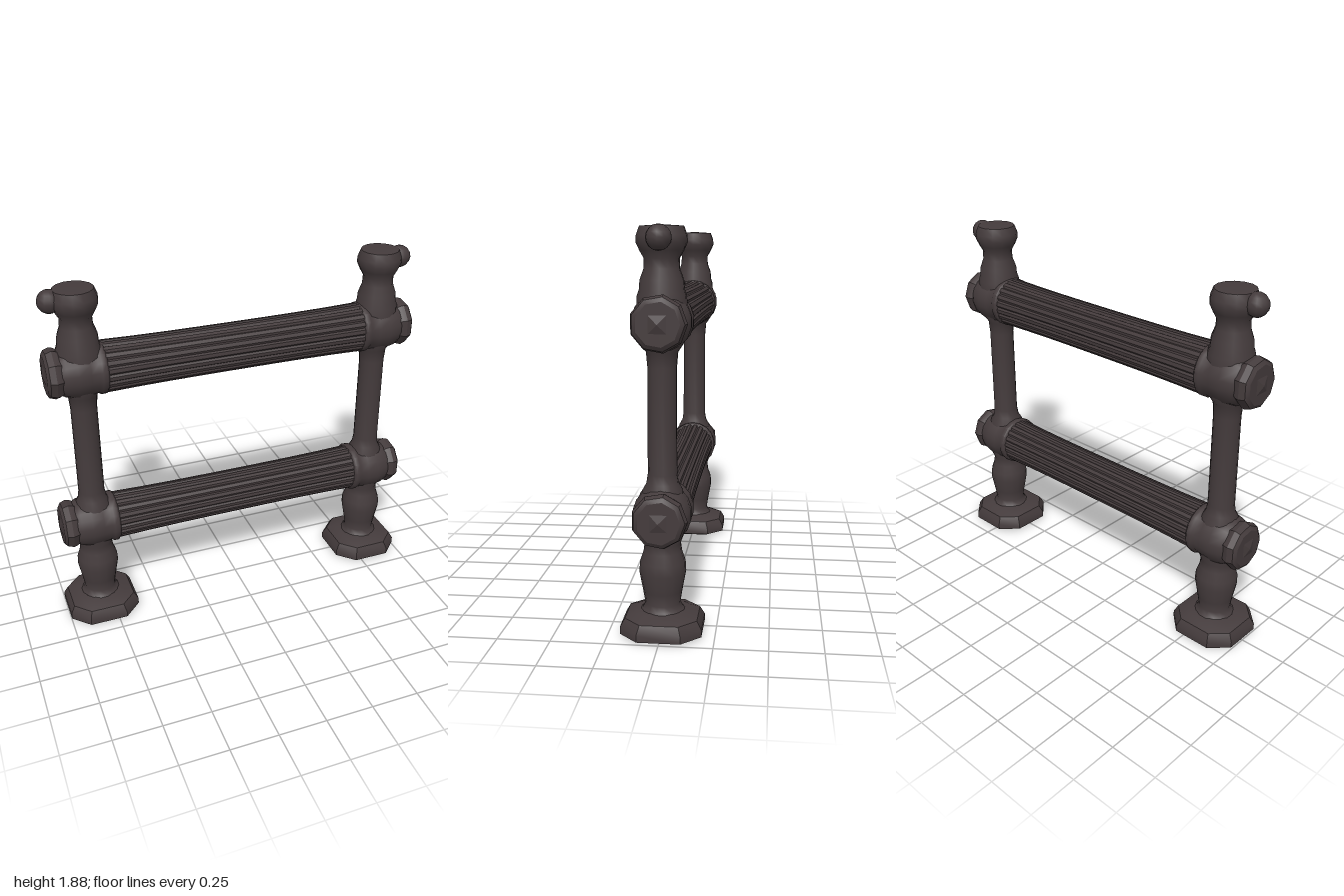
import * as THREE from 'three';
import { toCreasedNormals } from 'three/addons/utils/BufferGeometryUtils.js';

const iron = new THREE.MeshStandardMaterial({ color: 0x443b3c });
iron.name = 'dark iron';

const POST_X = 0.81;
const RAILS = [
  { name: 'lower', y: 0.57, radius: 0.12 },
  { name: 'upper', y: 1.455, radius: 0.125 },
];

function part(name, geometry) {
  const mesh = new THREE.Mesh(geometry, iron);
  mesh.name = name;
  return mesh;
}

// Profile pairs are [radius, height], listed bottom to top
function turned(profile, sides, crease = 0.6) {
  const points = profile.map(([r, y]) => new THREE.Vector2(r, y));
  return toCreasedNormals(new THREE.LatheGeometry(points, sides, Math.PI / sides), crease);
}

// Eight-sided foot, squared off with chamfered corners
function footGeometry() {
  const g = turned([[0, 0], [0.16, 0], [0.19, 0.012], [0.19, 0.045], [0.168, 0.085], [0.12, 0.105], [0, 0.125]], 8);
  const p = g.attributes.position;
  for (let i = 0; i < p.count; i++) {
    const x = p.getX(i), z = p.getZ(i), r = Math.hypot(x, z);
    const wide = Math.abs(x) > Math.abs(z);
    p.setX(i, Math.sign(x) * r * (wide ? 1 : 0.53));
    p.setZ(i, Math.sign(z) * r * (wide ? 0.53 : 1));
  }
  return toCreasedNormals(g, 0.6);
}

// Fluted rail lying along x, flaring a little toward its ends
function railGeometry(radius) {
  const length = 1.42, flutes = 20;
  const g = new THREE.CylinderGeometry(1, 1, length, flutes * 4, 8, true);
  const p = g.attributes.position;
  for (let i = 0; i < p.count; i++) {
    const a = Math.atan2(p.getZ(i), p.getX(i));
    const step = Math.round((a / (Math.PI * 2)) * flutes * 4 + flutes * 4) % 4;
    const flare = 0.008 * Math.pow(Math.abs(p.getY(i)) / (length / 2), 3);
    const r = radius + flare - (step === 0 ? 0.009 : 0);
    p.setX(i, Math.cos(a) * r);
    p.setZ(i, Math.sin(a) * r * 0.95);
  }
  g.rotateZ(-Math.PI / 2);
  return toCreasedNormals(g, 0.5);
}

// One end post, with its outer side toward +x
function makePost() {
  const post = new THREE.Group();
  post.add(part('foot', footGeometry()));

  post.add(part('balusterLeg', turned([
    [0.125, 0.09], [0.095, 0.115], [0.083, 0.14], [0.093, 0.2], [0.11, 0.29],
    [0.107, 0.34], [0.09, 0.39], [0.085, 0.43], [0.1, 0.47], [0.1, 0.6],
  ], 16, 1)));

  post.add(part('shaft', turned([
    [0.1, 0.6], [0.095, 0.68], [0.075, 0.715], [0.068, 0.76],
    [0.067, 1.25], [0.073, 1.32], [0.1, 1.36], [0.1, 1.5],
  ], 16, 1)));

  post.add(part('head', turned([
    [0.115, 1.5], [0.113, 1.57], [0.103, 1.6], [0.1, 1.64], [0.082, 1.69],
    [0.08, 1.735], [0.1, 1.77], [0.116, 1.805], [0.115, 1.835], [0.1, 1.876], [0, 1.883],
  ], 14, 0.7)));

  const knob = part('headKnob', new THREE.SphereGeometry(0.058, 12, 8));
  knob.position.set(0.118, 1.825, 0);
  post.add(knob);

  for (const rail of RAILS) {
    const joint = new THREE.Group();
    joint.name = rail.name + 'Joint';
    // Sleeve gripping the rail, with a rounded belly around the post
    const sleeve = part('sleeve', turned([
      [0, -0.118], [0.126, -0.118], [0.136, -0.108], [0.136, -0.085], [0.127, -0.07],
      [0.134, -0.03], [0.137, 0.03], [0.126, 0.085], [0.112, 0.11], [0, 0.11],
    ], 18, 0.8));
    // Faceted disc with a shallow raised point
    const cap = part('endCap', turned([
      [0.11, 0.09], [0.125, 0.115], [0.13, 0.135], [0.12, 0.165], [0.1, 0.178], [0, 0.178],
    ], 9, 0.5));
    const point = part('capPoint', turned([[0.085, 0.172], [0, 0.19]], 4, 0.1));
    for (const m of [sleeve, cap, point]) m.rotation.z = -Math.PI / 2;
    joint.add(sleeve, cap, point);
    joint.position.set(0, rail.y, 0);
    post.add(joint);
  }
  return post;
}

export function createModel() {
  const model = new THREE.Group();
  model.name = 'railing';

  const leftPost = makePost();
  leftPost.name = 'leftPost';
  leftPost.position.x = POST_X;
  const rightPost = makePost();
  rightPost.name = 'rightPost';
  rightPost.position.x = -POST_X;
  rightPost.rotation.y = Math.PI;
  model.add(leftPost, rightPost);

  for (const { name, y, radius } of RAILS) {
    const rail = part(name + 'Rail', railGeometry(radius));
    rail.position.y = y;
    model.add(rail);
  }
  return model;
}
